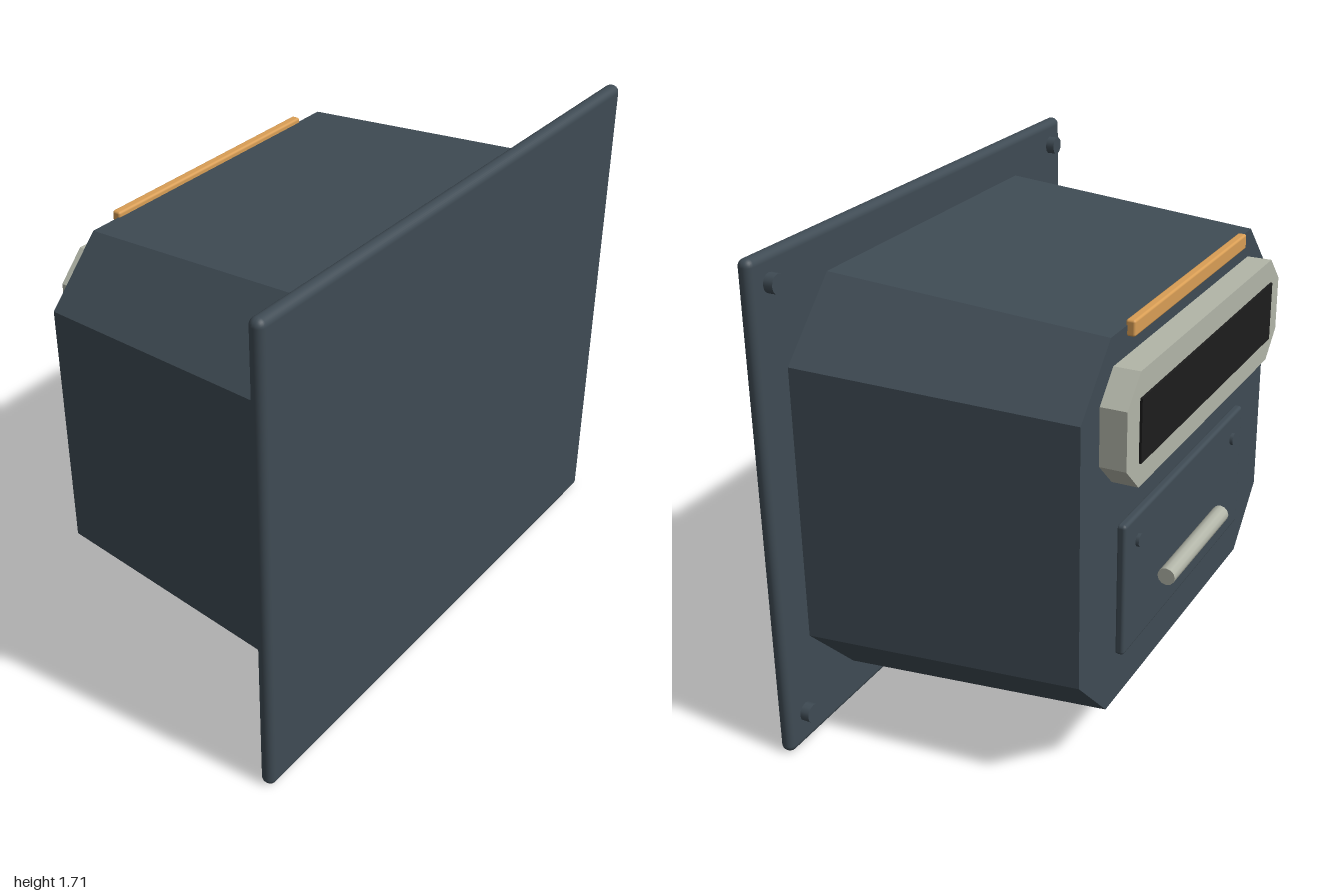
import * as THREE from 'three';
import { RoundedBoxGeometry } from 'three/addons/geometries/RoundedBoxGeometry.js';

const material = (name, color) => {
  const m = new THREE.MeshStandardMaterial({ color });
  m.name = name;
  return m;
};

// Corners of a chamfered rectangle, counter-clockwise seen from +z
const octagon = (w, y0, y1, cw, c0, c1) => [
  [cw, y0], [w, c0], [w, c1], [cw, y1], [-cw, y1], [-w, c1], [-w, c0], [-cw, y0],
];

// Flat-sided solid between a back and a front outline
function loft(back, zBack, front, zFront) {
  const pos = [];
  const n = back.length;
  const B = (i) => [...back[i % n], zBack];
  const F = (i) => [...front[i % n], zFront];
  for (let i = 0; i < n; i++) {
    pos.push(...B(i), ...B(i + 1), ...F(i + 1), ...B(i), ...F(i + 1), ...F(i));
    if (i > 0 && i < n - 1) {
      pos.push(...F(0), ...F(i), ...F(i + 1));
      pos.push(...B(0), ...B(i + 1), ...B(i));
    }
  }
  const g = new THREE.BufferGeometry();
  g.setAttribute('position', new THREE.Float32BufferAttribute(pos, 3));
  g.computeVertexNormals();
  return g;
}

export function createModel() {
  const model = new THREE.Group();
  model.name = 'wallHousing';
  const slate = material('slate metal', 0x3f4b54);
  const grey = material('warm grey', 0xb2b5a8);
  const amber = material('amber', 0xd99e55);
  const black = material('black', 0x1c1c1c);

  const add = (name, geometry, mat, x = 0, y = 0, z = 0) => {
    const mesh = new THREE.Mesh(geometry, mat);
    mesh.name = name;
    mesh.position.set(x, y, z);
    model.add(mesh);
    return mesh;
  };

  // Large mounting panel with rounded rim
  add('frontPanel', new RoundedBoxGeometry(2, 1.71, 0.052, 3, 0.025), slate, 0, 0.857, 0.522);

  // Tapered chamfered housing
  add('housing', loft(
    octagon(0.79, 0.22, 1.5, 0.59, 0.42, 1.3), -0.452,
    octagon(0.857, 0.15, 1.57, 0.622, 0.385, 1.335), 0.5,
  ), slate);

  // Bolts behind the panel corners
  const boltGeo = new THREE.CylinderGeometry(0.032, 0.032, 0.036, 12).rotateX(Math.PI / 2);
  for (const x of [-0.91, 0.91]) {
    for (const y of [0.122, 1.622]) add('panelBolt', boltGeo, slate, x, y, 0.482);
  }

  // Display bezel and its dark screen
  const bezel = octagon(0.662, 1.03, 1.405, 0.57, 1.12, 1.312);
  add('displayBezel', loft(bezel, -0.54, bezel, -0.45), grey);
  add('displayScreen', new THREE.BoxGeometry(1.144, 0.21, 0.009), black, 0, 1.216, -0.5435);

  // Light strip above the display
  add('lightStrip', new RoundedBoxGeometry(0.95, 0.053, 0.032, 2, 0.008), amber, 0, 1.491, -0.462);

  // Service hatch with screws and a grab bar
  add('hatch', new RoundedBoxGeometry(1.04, 0.47, 0.034, 2, 0.012), slate, 0, 0.623, -0.463);
  const screwGeo = new THREE.CylinderGeometry(0.022, 0.022, 0.016, 10).rotateX(Math.PI / 2);
  for (const x of [-0.42, 0.42]) add('hatchScrew', screwGeo, slate, x, 0.766, -0.483);
  const barGeo = new THREE.CylinderGeometry(0.031, 0.031, 0.5, 12).rotateZ(Math.PI / 2);
  add('hatchHandle', barGeo, grey, 0, 0.55, -0.511);

  return model;
}
